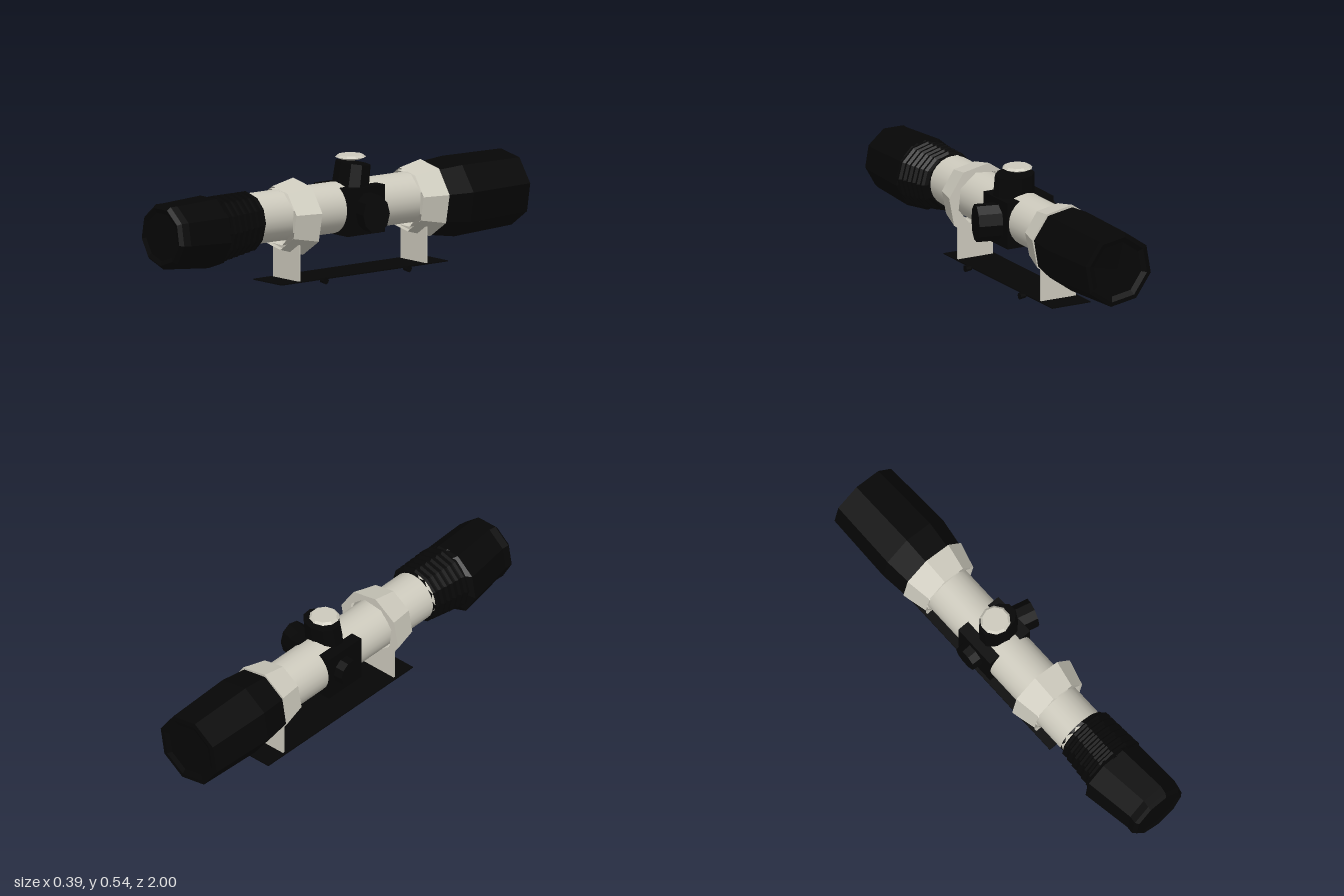
import * as THREE from 'three';

const black = new THREE.MeshStandardMaterial({ color: 0x060606, side: THREE.DoubleSide });
black.name = 'matte black';
const metal = new THREE.MeshStandardMaterial({ color: 0xcdcabd, side: THREE.DoubleSide });
metal.name = 'warm grey metal';

// Faceted geometry: every face keeps its own normal
function faceted(geometry) {
  const g = geometry.index ? geometry.toNonIndexed() : geometry;
  g.computeVertexNormals();
  return g;
}

// Skin along z through rings given as [z, radius, centreX, centreY, twist]
function loft(sections, sides, smooth = false) {
  const pos = [], index = [];
  for (const [z, r, cx, cy, twist = 0] of sections) {
    for (let i = 0; i < sides; i++) {
      const a = (i / sides) * Math.PI * 2 + twist;
      pos.push(cx + r * Math.cos(a), cy + r * Math.sin(a), z);
    }
  }
  for (let s = 0; s < sections.length - 1; s++) {
    for (let i = 0; i < sides; i++) {
      const j = (i + 1) % sides;
      const a = s * sides + i, b = s * sides + j, c = a + sides, d = b + sides;
      index.push(a, b, d, a, d, c);
    }
  }
  const g = new THREE.BufferGeometry();
  g.setAttribute('position', new THREE.Float32BufferAttribute(pos, 3));
  g.setIndex(index);
  if (!smooth) return faceted(g);
  g.computeVertexNormals();
  return g;
}

export function createModel() {
  const scope = new THREE.Group();
  scope.name = 'telescopicSight';

  function add(name, geometry, material, x = 0, y = 0, z = 0) {
    const mesh = new THREE.Mesh(geometry, material);
    mesh.name = name;
    mesh.position.set(x, y, z);
    scope.add(mesh);
    return mesh;
  }

  // Main tube
  add('mainTube', loft([[-0.55, 0.114, -0.033, 0.312], [0.5, 0.115, -0.033, 0.317]], 24, true), metal);

  // Objective bell with a shallow recessed lens
  const t = -1.35;
  add('objectiveBell', loft([
    [-0.988, 0, -0.022, 0.297, t],
    [-0.99, 0.125, -0.022, 0.297, t],
    [-1, 0.15, -0.022, 0.297, t],
    [-0.998, 0.171, -0.022, 0.297, t],
    [-0.66, 0.181, -0.018, 0.293, t],
    [-0.53, 0.165, -0.022, 0.297, t],
    [-0.53, 0.1, -0.03, 0.312, t],
  ], 8), black);

  // Eyepiece, its rear rim sitting lower and further right than its end
  const e = -Math.PI / 2;
  add('eyepiece', loft([
    [0.69, 0.1, -0.03, 0.3, e],
    [0.69, 0.145, -0.03, 0.298, e],
    [0.71, 0.165, -0.037, 0.286, e],
    [0.95, 0.15, -0.015, 0.296, e],
    [0.985, 0.148, -0.02, 0.297, e],
    [1, 0.132, -0.022, 0.297, e],
    [0.992, 0.11, -0.022, 0.297, e],
    [0.99, 0, -0.022, 0.297, e],
  ], 9), black);

  // Ribbed focus collar, widening toward the eyepiece
  const collar = [[0.485, 0.1, -0.03, 0.315], [0.485, 0.122, -0.03, 0.315]];
  for (let i = 0; i < 6; i++) {
    const z = 0.5 + i * 0.035, r = 0.138 + i * 0.003, cy = 0.31 - i * 0.003;
    collar.push([z, r - 0.012, -0.023, cy], [z + 0.008, r, -0.023, cy],
      [z + 0.02, r, -0.023, cy], [z + 0.024, r - 0.012, -0.023, cy]);
  }
  collar.push([0.715, 0.15, -0.028, 0.295]);
  add('focusCollar', loft(collar, 12), black);

  // Mounting rings: flared open shells around the tube, each on a thin post
  for (const [z, post] of [[0.205, 0.27], [-0.53, -0.465]]) {
    add('mountRing', loft([
      [z + 0.122, 0.143, -0.026, 0.305, 0.2],
      [z, 0.173, -0.022, 0.3, 0.2],
      [z, 0.13, -0.026, 0.31, 0.5],
    ], 8), metal);
    add('innerRing', loft([
      [z + 0.012, 0.132, -0.026, 0.31, 0],
      [z + 0.125, 0.13, -0.026, 0.31, 0.35],
    ], 8), metal);
    add('mountPost', new THREE.BoxGeometry(0.178, 0.19, 0.01), metal, -0.022, 0.115, post);
  }

  // Base rail and its side screws
  add('baseRail', new THREE.BoxGeometry(0.197, 0.005, 0.96), black, -0.024, 0.022, -0.1);
  for (const z of [0.145, -0.335]) {
    const g = new THREE.CylinderGeometry(0.012, 0.016, 0.03, 8).rotateZ(Math.PI / 2);
    add('railScrew', faceted(g), black, 0.086, 0.018, z);
  }

  // Turret block, just wider than the tube
  add('turretBlock', new THREE.BoxGeometry(0.236, 0.214, 0.215), black, -0.031, 0.305, -0.1);

  // Elevation turret leaning slightly back, with a pale cap floating above it
  const top = faceted(new THREE.CylinderGeometry(0.094, 0.1, 0.125, 10).scale(1, 1, 0.74));
  const topTurret = add('elevationTurret', top, black, -0.012, 0.448, -0.095);
  topTurret.rotation.set(-0.13, 0, -0.03);
  add('turretCap', faceted(new THREE.CylinderGeometry(0.058, 0.069, 0.01, 10)), metal, -0.025, 0.539, -0.1);
  add('turretCapUnderside', faceted(new THREE.CylinderGeometry(0.069, 0.045, 0.01, 10)), metal, -0.025, 0.529, -0.1);

  // Windage turret on the left side, leaning forward
  const windage = new THREE.CylinderGeometry(0.087, 0.087, 0.11, 10);
  windage.rotateZ(-Math.PI / 2).scale(1, 1, 0.75);
  add('windageTurret', faceted(windage), black, 0.126, 0.302, -0.095).rotation.y = -0.25;

  // Parallax knob on the right side
  const knob = new THREE.CylinderGeometry(0.062, 0.066, 0.07, 10).rotateZ(Math.PI / 2);
  add('parallaxKnob', faceted(knob), black, -0.158, 0.31, -0.11);

  return scope;
}
